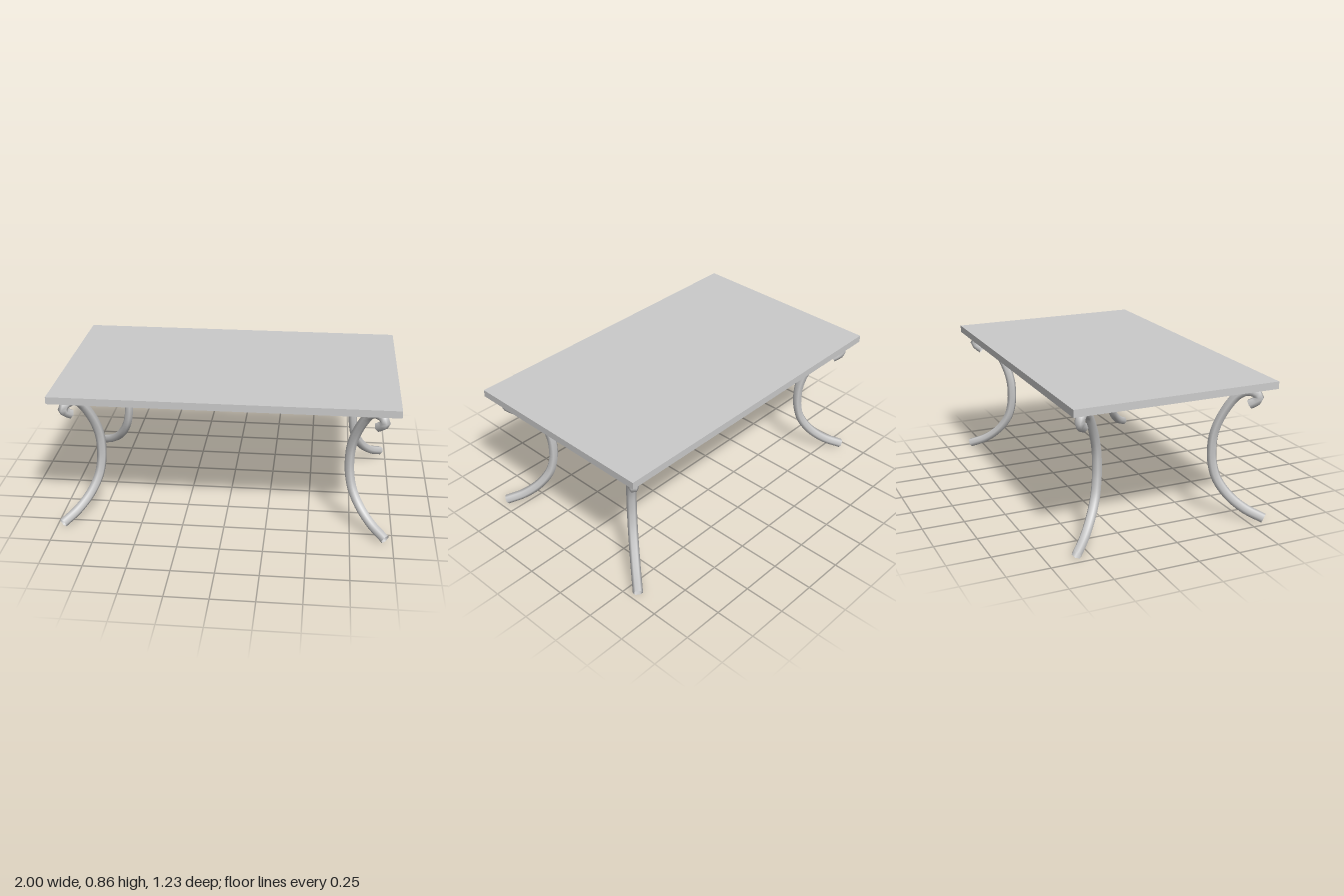
import * as THREE from 'three';

export function createModel() {
  const model = new THREE.Group();
  model.name = 'table';
  const topMaterial = new THREE.MeshStandardMaterial({ color: 0xcccccc });
  const legMaterial = new THREE.MeshStandardMaterial({ color: 0xcccccc, side: THREE.DoubleSide });

  // Flat rectangular top
  const top = new THREE.Mesh(new THREE.BoxGeometry(2, 0.043, 1.23), topMaterial);
  top.name = 'tableTop';
  top.position.y = 0.8465;
  model.add(top);

  // Leg centre line from the foot upwards: [distance inwards, height], ending in the curl
  const path = [
    [0, 0.033], [0.115, 0.082], [0.215, 0.158], [0.285, 0.255], [0.312, 0.35],
    [0.317, 0.44], [0.309, 0.52], [0.28, 0.61], [0.226, 0.71], [0.18, 0.768],
    [0.13, 0.796], [0.082, 0.79], [0.06, 0.766], [0.072, 0.743], [0.112, 0.719],
  ];
  const curve = new THREE.CatmullRomCurve3(path.map(([s, y]) => new THREE.Vector3(s, y, 0)));
  const legGeometry = new THREE.TubeGeometry(curve, 48, 0.029, 6, false);

  // Each leg stands in a near-diagonal plane, facing inwards from its foot
  const legs = [
    ['frontLeftLeg', 0.957, 0.587, 45],
    ['backLeftLeg', 0.965, -0.588, 50],
    ['frontRightLeg', -0.962, 0.586, 50],
    ['backRightLeg', -0.957, -0.587, 44],
  ];
  for (const [name, x, z, degrees] of legs) {
    const a = THREE.MathUtils.degToRad(degrees);
    const leg = new THREE.Mesh(legGeometry, legMaterial);
    leg.name = name;
    leg.position.set(x, 0, z);
    leg.rotation.y = Math.atan2(Math.sign(z) * Math.sin(a), -Math.sign(x) * Math.cos(a));
    model.add(leg);
  }
  return model;
}
